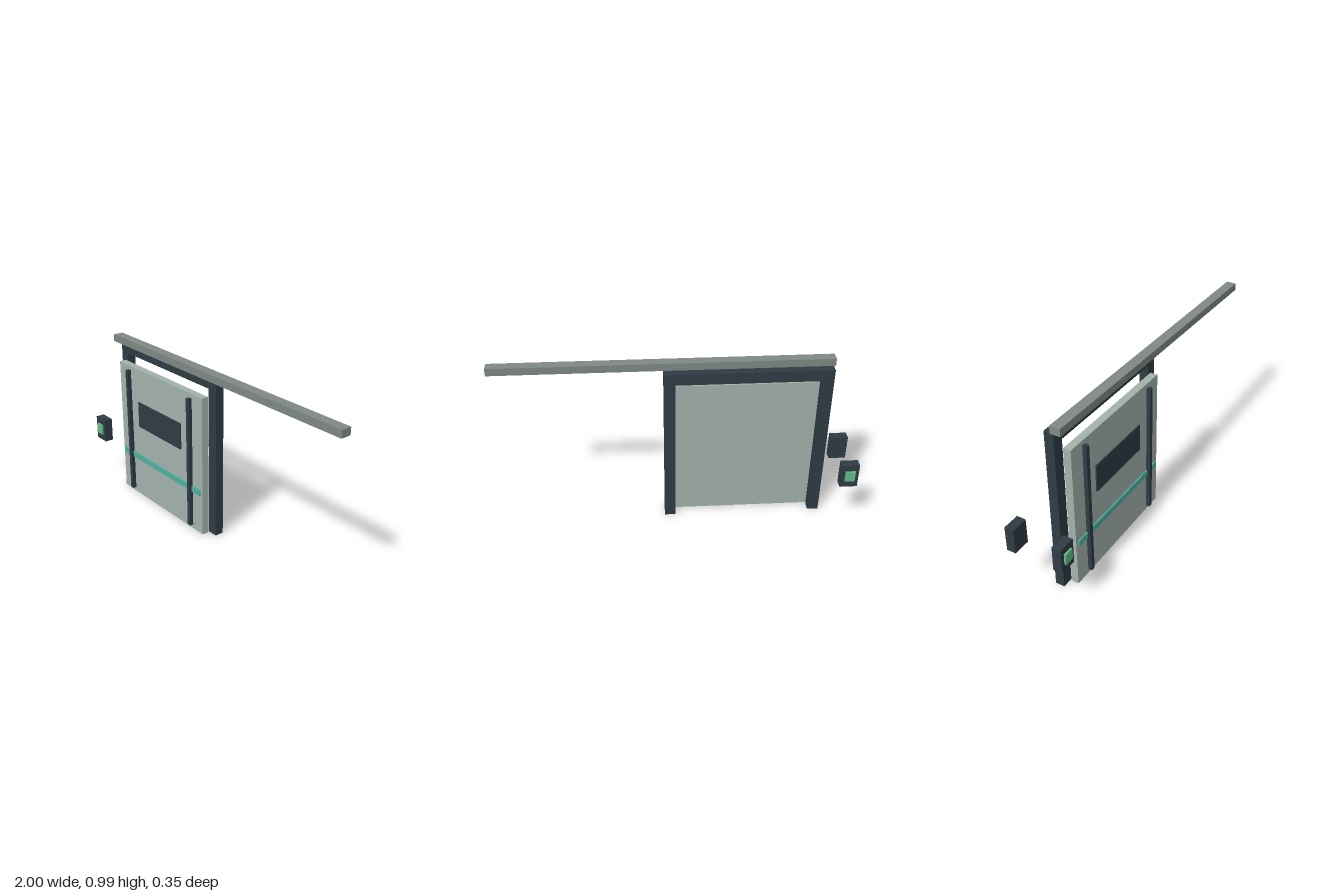
import * as THREE from 'three';

const paint = (color) => new THREE.MeshStandardMaterial({ color });

export function createModel() {
  const model = new THREE.Group();
  model.name = 'slidingDoor';
  const dark = paint(0x2f3c44);
  const panel = paint(0xa3b2ac);
  const metal = paint(0x7f8984);
  const teal = paint(0x4fb0a0);
  const green = paint(0x66bb8a);

  // Box given by its extents along each axis
  function block(name, material, [x0, x1], [y0, y1], [z0, z1], parent = model) {
    const mesh = new THREE.Mesh(new THREE.BoxGeometry(x1 - x0, y1 - y0, z1 - z0), material);
    mesh.position.set((x0 + x1) / 2, (y0 + y1) / 2, (z0 + z1) / 2);
    mesh.name = name;
    parent.add(mesh);
    return mesh;
  }

  // Door frame: two posts and a lintel
  const frame = new THREE.Group();
  frame.name = 'frame';
  model.add(frame);
  const frameZ = [-0.006, 0.046];
  block('rightPost', dark, [-0.84, -0.777], [0, 0.942], frameZ, frame);
  block('leftPost', dark, [0.01, 0.072], [0, 0.942], frameZ, frame);
  block('lintel', dark, [-0.777, 0.01], [0.878, 0.942], frameZ, frame);

  // Overhead rail the door slides along
  block('rail', metal, [-0.85, 1], [0.946, 0.988], [0.035, 0.093]);

  // Sliding leaf with window, stripe and two upright bars
  const door = new THREE.Group();
  door.name = 'door';
  model.add(door);
  block('doorPanel', panel, [-0.787, 0.018], [0.002, 0.836], [0.056, 0.098], door);
  block('window', dark, [-0.595, -0.175], [0.472, 0.63], [0.097, 0.105], door);
  block('stripe', teal, [-0.77, 0.001], [0.246, 0.281], [0.097, 0.106], door);
  for (const x of [-0.683, -0.084]) {
    block('uprightBar', dark, [x - 0.012, x + 0.012], [0.027, 0.81], [0.098, 0.121], door);
  }

  // Push-button boxes, one on each side of the wall
  for (const [side, z] of [[1, 0.139], [-1, -0.137]]) {
    const control = new THREE.Group();
    control.name = side > 0 ? 'frontControl' : 'backControl';
    control.position.z = z;
    model.add(control);
    block('controlBox', dark, [-1, -0.902], [0.282, 0.425], [-0.026, 0.026], control);
    const button = block('button', green, [-0.979, -0.924], [0.325, 0.388], [-0.006, 0.006], control);
    button.position.z = side * 0.031;
  }
  return model;
}
